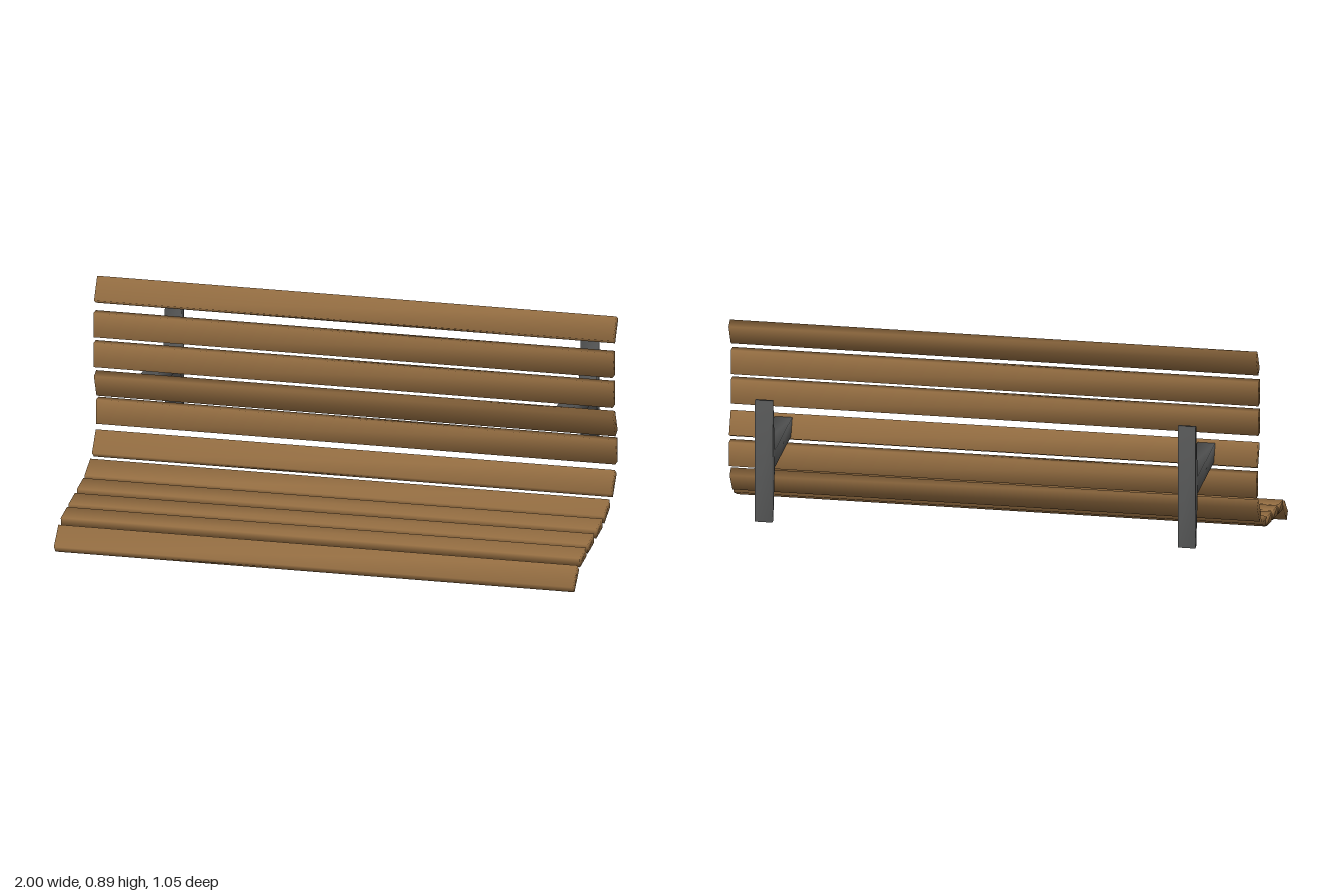
import * as THREE from 'three';
import { mergeVertices } from 'three/addons/utils/BufferGeometryUtils.js';

// Weld corners so the shading rolls softly over the edges
function soften(geometry) {
  geometry.deleteAttribute('normal');
  geometry.deleteAttribute('uv');
  const welded = mergeVertices(geometry, 1e-4);
  welded.clearGroups();
  welded.computeVertexNormals();
  return welded;
}

export function createModel() {
  const bench = new THREE.Group();
  bench.name = 'wallBench';

  const wood = new THREE.MeshStandardMaterial({ color: 0x916b40 });
  wood.name = 'brownWood';
  const metal = new THREE.MeshStandardMaterial({ color: 0x5a5b5b });
  metal.name = 'darkMetal';

  // Slats from the top of the back to the front of the seat: z, y, tilt in degrees
  const slats = [
    [-0.109, 0.84, 60],
    [-0.08, 0.714, 90],
    [-0.08, 0.597, 90],
    [-0.104, 0.475, 114],
    [-0.12, 0.363, 90],
    [-0.082, 0.247, 53],
    [0.021, 0.17, 24],
    [0.133, 0.137, 8.5],
    [0.258, 0.117, 8.5],
    [0.374, 0.098, 8.5],
    [0.48, 0.047, 44],
  ];
  const slatGeometry = soften(new THREE.BoxGeometry(2, 0.036, 0.095));
  slats.forEach(([z, y, tilt], i) => {
    const slat = new THREE.Mesh(slatGeometry, wood);
    slat.name = (i < 6 ? 'backSlat' : 'seatSlat') + (i + 1);
    slat.position.set(0, y, z);
    slat.rotation.x = THREE.MathUtils.degToRad(tilt);
    bench.add(slat);
  });

  // Wall bracket: tapered plate and arm in one side profile (z, y)
  const profile = new THREE.Shape([
    [-0.528, 0.246], [-0.508, 0.246], [-0.476, 0.447], [-0.125, 0.447],
    [-0.105, 0.513], [-0.476, 0.513], [-0.508, 0.725], [-0.528, 0.725],
  ].map(([z, y]) => new THREE.Vector2(z, y)));
  const width = 0.066;
  const bracketGeometry = soften(
    new THREE.ExtrudeGeometry(profile, { depth: width, bevelEnabled: false })
      .translate(0, 0, -width / 2)
      .rotateY(-Math.PI / 2)
  );
  for (const [name, x] of [['leftBracket', 0.797], ['rightBracket', -0.805]]) {
    const bracket = new THREE.Mesh(bracketGeometry, metal);
    bracket.name = name;
    bracket.position.x = x;
    bench.add(bracket);
  }

  return bench;
}
